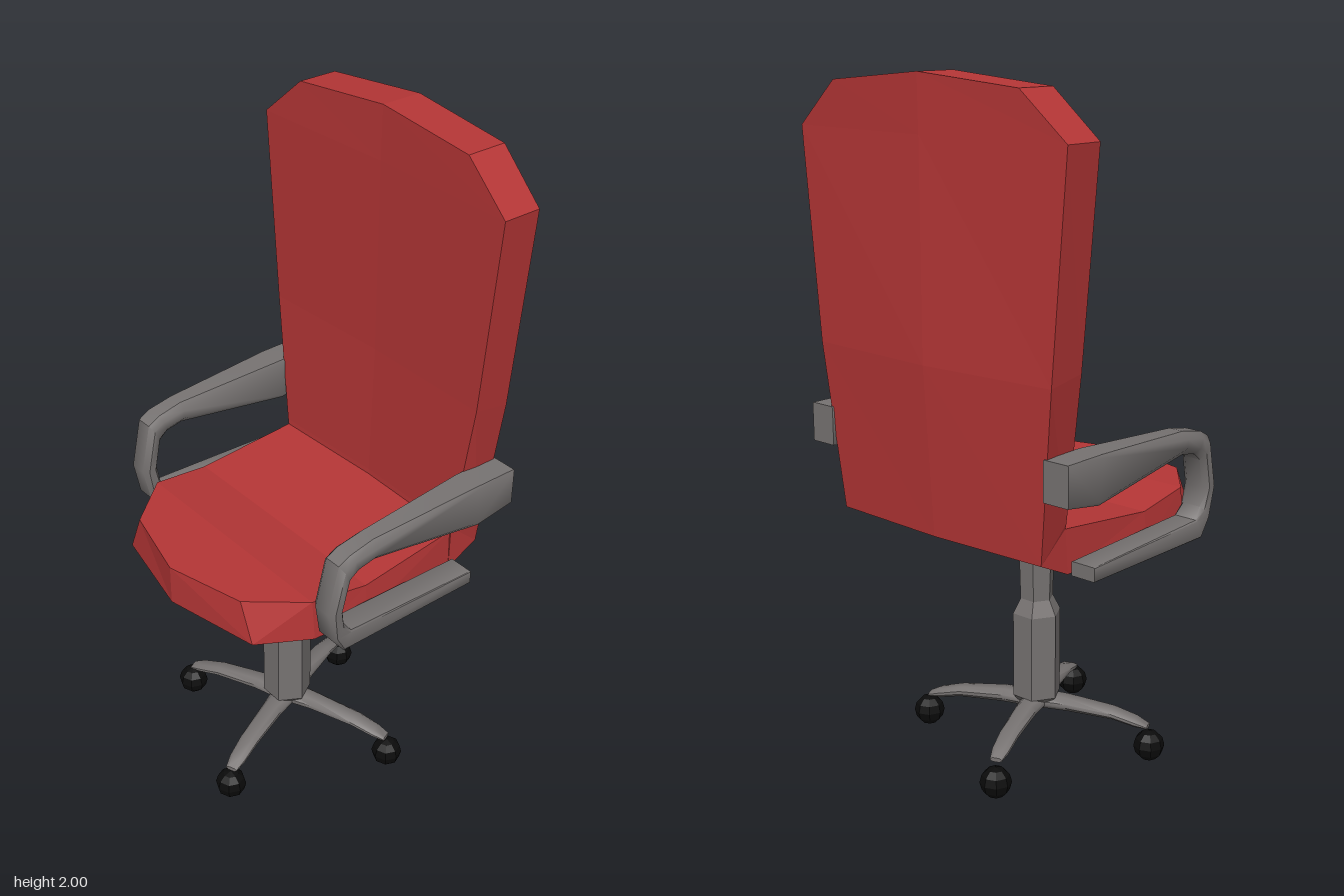
import * as THREE from 'three';
import { toCreasedNormals } from 'three/addons/utils/BufferGeometryUtils.js';

const mat = (name, color) => {
  const m = new THREE.MeshStandardMaterial({ color });
  m.name = name;
  return m;
};

// Closed skin over equal-sized point loops, wound outward, with capped ends
function loft(loops, crease) {
  const n = loops[0].length, tris = [];
  const quad = (a, b, c, d) => tris.push([a, b, c], [a, c, d]);
  for (let k = 0; k < loops.length - 1; k++) {
    const a = loops[k], b = loops[k + 1];
    for (let i = 0; i < n; i++) {
      const j = (i + 1) % n;
      quad(a[i], a[j], b[j], b[i]);
    }
  }
  const s = loops[0], e = loops[loops.length - 1];
  for (let i = 0; i < n / 2 - 1; i++) {
    quad(s[n - 1 - i], s[n - 2 - i], s[i + 1], s[i]);
    quad(e[i], e[i + 1], e[n - 2 - i], e[n - 1 - i]);
  }
  let volume = 0;
  for (const [a, b, c] of tris) volume += a.dot(b.clone().cross(c));
  const points = tris.flatMap(([a, b, c]) => (volume > 0 ? [a, b, c] : [a, c, b]));
  const g = new THREE.BufferGeometry().setFromPoints(points);
  g.computeVertexNormals();
  return crease ? toCreasedNormals(g, crease) : g;
}

// Eight-sided section: u runs across the part, t from its outer to its inner side
function octagon(place, cu, ct) {
  return [[-1, ct], [-1 + cu, 0], [1 - cu, 0], [1, ct],
    [1, 1 - ct], [1 - cu, 1], [-1 + cu, 1], [-1, 1 - ct]].map(([u, t]) => place(u, t));
}

export function createModel() {
  const model = new THREE.Group();
  model.name = 'officeChair';
  const red = mat('red upholstery', 0xb53636);
  const grey = mat('grey plastic', 0x777372);
  const black = mat('black rubber', 0x0b0b0b);
  const V = (x, y, z) => new THREE.Vector3(x, y, z);
  const add = (name, geometry, material, parent = model) => {
    const mesh = new THREE.Mesh(geometry, material);
    mesh.name = name;
    parent.add(mesh);
    return mesh;
  };

  // Seat and backrest sections: [half width, edge y, edge z, middle y, middle z]
  // for the sitting side, then for the underside or rear
  const cushion = (rows) => loft(rows.map(([p, q]) => [
    V(p[0], p[1], p[2]), V(0, p[3], p[4]), V(-p[0], p[1], p[2]),
    V(-q[0], q[1], q[2]), V(0, q[3], q[4]), V(q[0], q[1], q[2]),
  ]));
  const bend = [[0.366, 0.845, -0.283, 0.845, -0.295], [0.372, 0.72, -0.28, 0.72, -0.285]];
  add('seat', cushion([
    [[0.24, 0.84, 0.37, 0.84, 0.432], [0.29, 0.72, 0.37, 0.72, 0.432]],
    [[0.364, 0.84, 0.222, 0.84, 0.222], [0.376, 0.72, 0.222, 0.72, 0.222]],
    [[0.375, 0.815, 0.04, 0.815, 0.04], [0.386, 0.72, 0.04, 0.72, 0.04]],
    bend,
  ]), red);
  add('backrest', cushion([
    bend,
    [[0.37, 0.86, -0.284, 0.86, -0.296], [0.372, 0.77, -0.385, 0.77, -0.4]],
    [[0.425, 1.27, -0.293, 1.27, -0.305], [0.425, 1.25, -0.408, 1.25, -0.432]],
    [[0.475, 1.845, -0.29, 1.845, -0.303], [0.475, 1.845, -0.41, 1.845, -0.432]],
    [[0.33, 1.97, -0.296, 2, -0.305], [0.33, 1.97, -0.42, 2, -0.434]],
  ]), red);

  // Armrests: [outer z, outer y, inner z, inner y, centre x, half width, chamfer]
  const armStations = [
    [-0.405, 1.065, -0.405, 0.952, 0.437, 0.042, 0.05],
    [-0.265, 1.065, -0.28, 0.932, 0.435, 0.044, 0.1],
    [0.095, 1.048, 0.095, 0.982, 0.435, 0.043, 0.45],
    [0.175, 1.032, 0.15, 0.972, 0.434, 0.042, 0.4],
    [0.212, 1.012, 0.176, 0.95, 0.433, 0.042, 0.4],
    [0.245, 0.865, 0.195, 0.865, 0.43, 0.042, 0.4],
    [0.225, 0.765, 0.188, 0.81, 0.426, 0.04, 0.3],
    [0.19, 0.72, 0.165, 0.777, 0.424, 0.039, 0.1],
    [-0.28, 0.72, -0.28, 0.76, 0.424, 0.039, 0.05],
  ];
  for (const side of [1, -1]) {
    const loops = armStations.map(([z0, y0, z1, y1, x, w, c]) => octagon(
      (u, t) => V(side * (x + u * w), y0 + (y1 - y0) * t, z0 + (z1 - z0) * t), c, c * 0.7));
    add(side > 0 ? 'leftArmrest' : 'rightArmrest', loft(loops, 0.8), grey);
  }

  // Six-sided pedestal column
  const base = new THREE.Group();
  base.name = 'base';
  base.position.z = 0.018;
  model.add(base);
  const profile = [[0, 0.13], [0.04, 0.13], [0.073, 0.17], [0.073, 0.43],
    [0.05, 0.475], [0.057, 0.725], [0, 0.725]].map(([r, y]) => new THREE.Vector2(r, y));
  const column = new THREE.LatheGeometry(profile, 6, Math.PI / 2).toNonIndexed();
  column.computeVertexNormals();
  add('column', column, grey, base);

  // Four arched legs, each ending above a caster
  const legStations = [[0, 0.172, 0.13, 0.04], [0.1, 0.17, 0.13, 0.032],
    [0.24, 0.155, 0.124, 0.028], [0.31, 0.136, 0.109, 0.025], [0.347, 0.118, 0.106, 0.018]];
  const leg = loft(legStations.map(([r, top, bottom, w]) => octagon(
    (u, t) => V(r, top + (bottom - top) * t, u * w), 0.45, 0.35)), 0.8);
  const ball = new THREE.SphereGeometry(0.046, 8, 6).toNonIndexed();
  ball.computeVertexNormals();
  [0.058, 0.046, 0.053, 0.06].forEach((y, i) => {
    const angle = 0.39 + i * Math.PI / 2;
    add('leg', leg, grey, base).rotation.y = angle;
    add('caster', ball, black, base)
      .position.set(Math.cos(angle) * 0.35, y, -Math.sin(angle) * 0.35);
  });
  return model;
}
